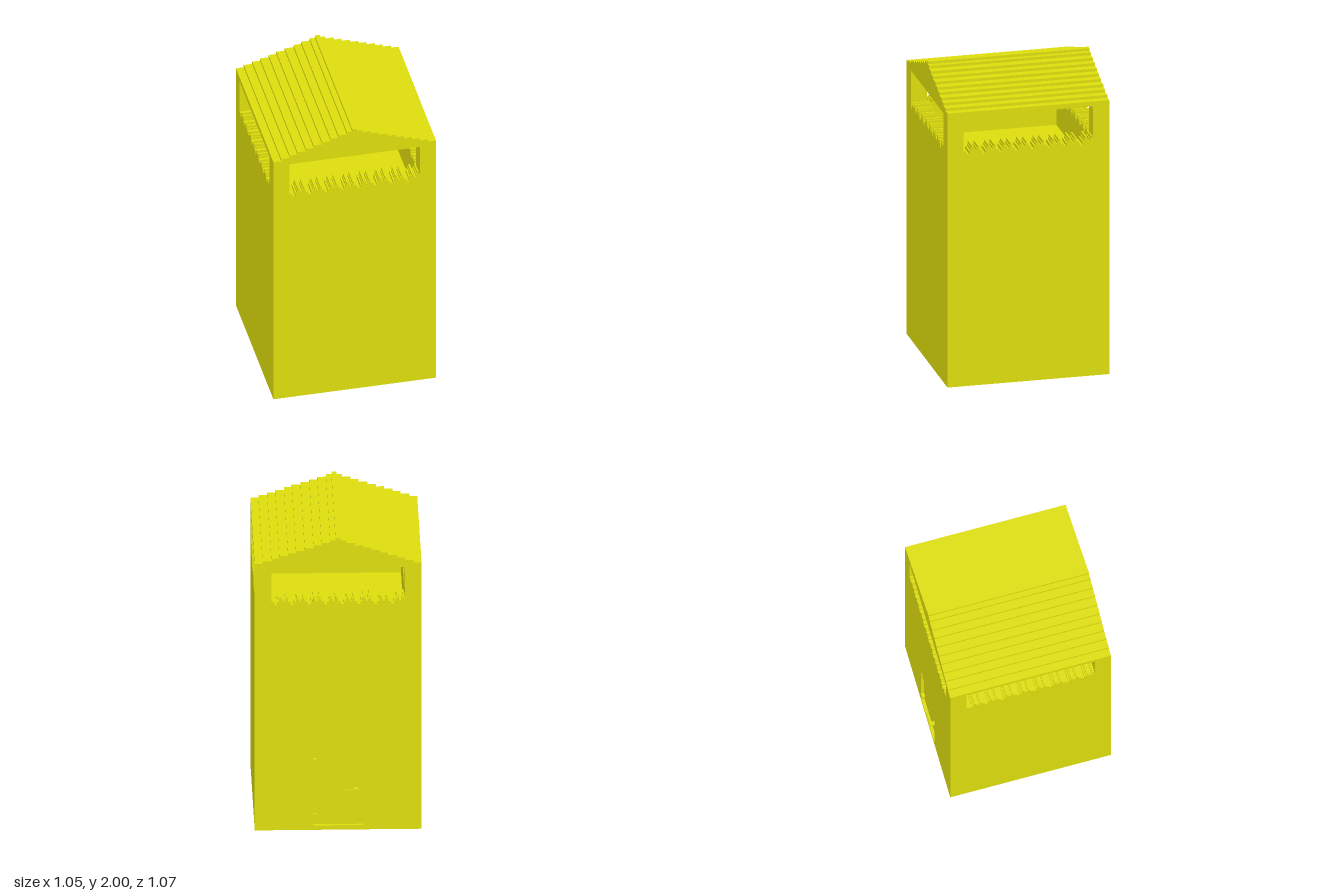
import * as THREE from 'three';

const material = new THREE.MeshStandardMaterial({ color: 0xdddd0d, flatShading: true });
const HALF = 0.525, WALL = 0.105, INNER = HALF - WALL;
const FLOOR = 1.35, EAVES = 1.795, SKIN = 0.02;

function add(parent, name, geometry, x = 0, y = 0, z = 0) {
  const mesh = new THREE.Mesh(geometry, material);
  mesh.name = name;
  mesh.position.set(x, y, z);
  parent.add(mesh);
  return mesh;
}

const box = (w, h, d) => new THREE.BoxGeometry(w, h, d);
const extrude = (shape, depth) => new THREE.ExtrudeGeometry(shape, { depth, bevelEnabled: false });

function rectangle(Type, x0, y0, x1, y1) {
  return new Type([[x0, y0], [x1, y0], [x1, y1], [x0, y1]].map(p => new THREE.Vector2(...p)));
}

// Jagged top edge: each repeat has a deep notch between two stepped teeth
function parapetShape() {
  const shape = new THREE.Shape();
  const pitch = (2 * INNER) / 8;
  const steps = [
    [0, 1.565], [0.018, 1.545], [0.036, 1.565], [0.047, 1.58], [0.052, 1.598],
    [0.064, 1.58], [0.072, 1.565], [0.083, 1.58], [0.09, 1.598], [0.1, 1.58],
  ];
  shape.moveTo(-INNER, FLOOR);
  for (let i = 0; i < 8; i++) {
    steps.forEach(([dx, y], k) => {
      const x = -INNER + i * pitch;
      const end = k + 1 < steps.length ? steps[k + 1][0] : pitch;
      shape.lineTo(x + dx, y);
      shape.lineTo(x + end, y);
    });
  }
  shape.lineTo(INNER, FLOOR);
  shape.closePath();
  return shape;
}

// Stepped gable outline
function roofShape() {
  const risers = [0.475, 0.42, 0.37, 0.315, 0.265, 0.21, 0.155, 0.105, 0.05, 0.016];
  const half = [[HALF, EAVES]];
  let y = 1.827;
  half.push([HALF, y]);
  for (const x of risers) {
    half.push([x, y]);
    y += 0.0173;
    half.push([x, y]);
  }
  const mirrored = half.map(([x, h]) => [-x, h]).reverse();
  return new THREE.Shape([...half, ...mirrored].map(p => new THREE.Vector2(...p)));
}

export function createModel() {
  const model = new THREE.Group();
  model.name = 'watchtower';

  // Solid lower tower, its top being the lookout floor
  add(model, 'towerBody', box(2 * HALF, FLOOR, 2 * HALF - SKIN), 0, FLOOR / 2, SKIN / 2);

  // Back facing with the recessed doorway
  const facing = rectangle(THREE.Shape, -HALF, 0, HALF, FLOOR);
  facing.holes.push(rectangle(THREE.Path, -0.16, 0.03, 0.157, 0.517));
  add(model, 'doorwayWall', extrude(facing, SKIN), 0, 0, -HALF);

  // Door hinges and lever handle
  const door = new THREE.Group();
  door.name = 'doorFittings';
  model.add(door);
  for (const y of [0.085, 0.46]) add(door, 'hinge', box(0.025, 0.045, 0.024), 0.145, y, -HALF + 0.011);
  add(door, 'handleStem', box(0.022, 0.022, 0.04), -0.115, 0.27, -HALF + 0.005);
  add(door, 'handleLever', box(0.1, 0.022, 0.014), -0.077, 0.27, -HALF - 0.012);

  // Four jagged parapets
  const parapet = extrude(parapetShape(), WALL).translate(0, 0, INNER);
  for (let i = 0; i < 4; i++) add(model, 'parapet', parapet).rotation.y = (i * Math.PI) / 2;

  // Corner posts
  const postMid = HALF - WALL / 2;
  for (const sx of [-1, 1]) {
    for (const sz of [-1, 1]) {
      add(model, 'cornerPost', box(WALL, EAVES - FLOOR, WALL), sx * postMid, (EAVES + FLOOR) / 2, sz * postMid);
    }
  }

  // Stepped roof with flat ceiling
  add(model, 'roof', extrude(roofShape(), 2 * HALF), 0, 0, -HALF);

  return model;
}
